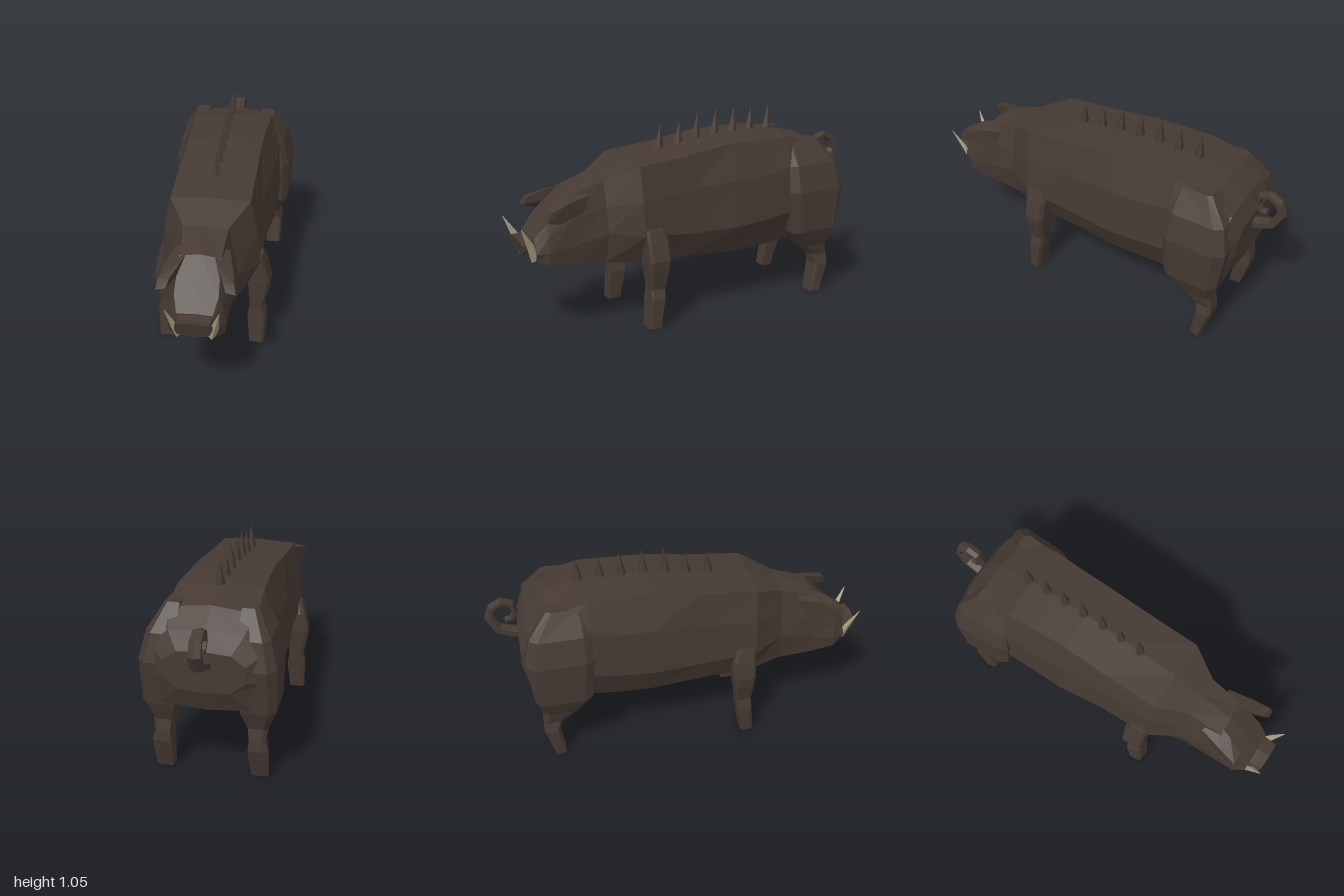
import * as THREE from 'three';

const hide = new THREE.MeshStandardMaterial({ color: 0x463a33 });
hide.name = 'brown hide';
const ivory = new THREE.MeshStandardMaterial({ color: 0xa39c80 });
ivory.name = 'ivory';

// Skin closed rings of [x, y, z] points with flat facets and capped ends
function loft(rings) {
  const n = rings[0].length, pos = [];
  let volume = 0;
  const tri = (a, b, c) => {
    pos.push([a, b, c]);
    volume += a[0] * (b[1] * c[2] - b[2] * c[1]) + a[1] * (b[2] * c[0] - b[0] * c[2]) + a[2] * (b[0] * c[1] - b[1] * c[0]);
  };
  for (let i = 0; i < rings.length - 1; i++) {
    for (let j = 0; j < n; j++) {
      const k = (j + 1) % n, p = rings[i], q = rings[i + 1];
      tri(p[j], q[j], q[k]);
      tri(p[j], q[k], p[k]);
    }
  }
  const first = rings[0], last = rings[rings.length - 1];
  for (let j = 1; j < n - 1; j++) {
    tri(first[0], first[j], first[j + 1]);
    tri(last[0], last[j + 1], last[j]);
  }
  const ordered = volume < 0 ? pos.map(([a, b, c]) => [a, c, b]) : pos;
  const g = new THREE.BufferGeometry();
  g.setAttribute('position', new THREE.Float32BufferAttribute(ordered.flat(2), 3));
  g.computeVertexNormals();
  return g;
}

const mirror = (rings) => rings.map((r) => r.map(([x, y, z]) => [-x, y, z]));

// Leg ring: height, inner x, outer x, front z, back z, with chamfered outer corners
function legRing([y, x0, x1, zf, zb]) {
  const d = (zf - zb) * 0.13, xm = x1 - (x1 - x0) * 0.2;
  return [[x0, y, zf], [xm, y, zf], [x1 - 0.008, y, zf - d], [x1, y, zb + d], [xm, y, zb], [x0, y, zb]];
}

export function createModel() {
  const model = new THREE.Group();
  const add = (name, geometry, material = hide) => {
    const mesh = new THREE.Mesh(geometry, material);
    mesh.name = name;
    model.add(mesh);
  };
  const addPair = (name, rings, material) => {
    add('left' + name, loft(rings), material);
    add('right' + name, loft(mirror(rings)), material);
  };

  // Body and head: z, top y, four side points (x, y), bottom y
  const sections = [
    [-0.835, 0.70, 0.13, 0.69, 0.20, 0.64, 0.20, 0.56, 0.13, 0.50, 0.49],
    [-0.79, 0.79, 0.18, 0.77, 0.28, 0.70, 0.30, 0.55, 0.22, 0.40, 0.38],
    [-0.69, 0.875, 0.215, 0.85, 0.27, 0.73, 0.29, 0.52, 0.22, 0.36, 0.33],
    [-0.49, 0.92, 0.215, 0.90, 0.27, 0.75, 0.285, 0.50, 0.21, 0.33, 0.30],
    [-0.33, 0.925, 0.205, 0.905, 0.265, 0.72, 0.28, 0.48, 0.20, 0.31, 0.29],
    [-0.15, 0.925, 0.20, 0.905, 0.26, 0.72, 0.28, 0.47, 0.20, 0.31, 0.295],
    [0.10, 0.895, 0.20, 0.875, 0.235, 0.70, 0.25, 0.47, 0.19, 0.33, 0.32],
    [0.39, 0.86, 0.20, 0.85, 0.235, 0.68, 0.25, 0.50, 0.17, 0.335, 0.33],
    [0.55, 0.79, 0.11, 0.785, 0.14, 0.65, 0.16, 0.52, 0.13, 0.36, 0.345],
    [0.73, 0.745, 0.10, 0.73, 0.13, 0.62, 0.14, 0.48, 0.13, 0.375, 0.36],
    [0.86, 0.61, 0.105, 0.60, 0.125, 0.54, 0.14, 0.46, 0.135, 0.40, 0.385],
    [0.92, 0.54, 0.085, 0.535, 0.10, 0.50, 0.115, 0.46, 0.10, 0.42, 0.41],
  ];
  const bodyRing = ([z, top, ...rest]) => {
    const side = [0, 2, 4, 6].map((i) => [rest[i], rest[i + 1], z]);
    const other = side.map(([x, y]) => [-x, y, z]).reverse();
    return [[0, top, z], ...side, [0, rest[8], z], ...other];
  };
  add('bodyAndHead', loft(sections.map(bodyRing)));

  // Snout with a slightly tilted flat end
  const snout = [
    [0.90, 0.54, 0.075, 0.53, 0.09, 0.50, 0.10, 0.47, 0.08, 0.43, 0.425],
    [0.955, 0.53, 0.08, 0.52, 0.088, 0.50, 0.088, 0.48, 0.075, 0.45, 0.445],
    [0.98, 0.535, 0.075, 0.525, 0.085, 0.505, 0.085, 0.48, 0.07, 0.455, 0.45],
  ].map(bodyRing);
  snout[2].forEach((p) => { p[2] += (p[1] - 0.49) * 0.25; });
  add('snout', loft(snout));

  // Hind legs with broad haunches
  addPair('HindLeg', [
    [0.875, 0.15, 0.225, -0.51, -0.69],
    [0.75, 0.14, 0.30, -0.48, -0.79],
    [0.61, 0.14, 0.335, -0.47, -0.82],
    [0.38, 0.16, 0.33, -0.49, -0.785],
    [0.28, 0.19, 0.288, -0.57, -0.745],
    [0.215, 0.197, 0.275, -0.66, -0.755],
    [0.16, 0.19, 0.29, -0.675, -0.755],
    [0, 0.20, 0.285, -0.647, -0.707],
  ].map(legRing));

  // Front legs
  addPair('FrontLeg', [
    [0.53, 0.18, 0.265, 0.385, 0.29],
    [0.47, 0.18, 0.285, 0.385, 0.265],
    [0.37, 0.19, 0.308, 0.385, 0.265],
    [0.31, 0.197, 0.30, 0.38, 0.272],
    [0.21, 0.20, 0.275, 0.37, 0.285],
    [0.16, 0.19, 0.29, 0.373, 0.29],
    [0, 0.203, 0.285, 0.385, 0.315],
  ].map(legRing));

  // Drooping ears
  addPair('Ear', [
    [[0.05, 0.75, 0.66], [0.13, 0.725, 0.64], [0.135, 0.645, 0.67], [0.07, 0.66, 0.68]],
    [[0.085, 0.725, 0.78], [0.16, 0.705, 0.77], [0.168, 0.612, 0.81], [0.105, 0.66, 0.81]],
    [[0.125, 0.685, 0.865], [0.178, 0.68, 0.865], [0.188, 0.635, 0.885], [0.14, 0.645, 0.885]],
  ]);

  // Tusks: square section tapering upward and outward
  addPair('Tusk', [
    [0.083, 0.425, 0.915, 0.023], [0.10, 0.50, 0.945, 0.017], [0.125, 0.605, 0.998, 0.002],
  ].map(([x, y, z, r]) => [
    [x - r, y, z + r * 0.3], [x, y - r * 0.5, z + r], [x + r, y, z - r * 0.3], [x, y + r * 0.5, z - r],
  ]), ivory);

  // Spikes along the spine: z, base y, tip y
  [[0.175, 0.87, 1.005], [0.06, 0.88, 1.005], [-0.05, 0.89, 1.05], [-0.165, 0.905, 1.05],
    [-0.28, 0.905, 1.05], [-0.39, 0.90, 1.04], [-0.505, 0.90, 1.04]].forEach(([z, base, tip], i) => {
    const ring = (r, y, cz) => Array.from({ length: 5 }, (_, k) => {
      const a = (k / 5) * Math.PI * 2;
      return [Math.sin(a) * r, y, cz + Math.cos(a) * r];
    });
    add('spineSpike' + (i + 1), loft([ring(0.029, base, z), ring(0.001, tip, z - 0.012)]));
  });

  // Curled tail: flattened section swept along a spiral in the middle plane
  const path = [[0.63, -0.80], [0.645, -0.87], [0.67, -0.935], [0.74, -0.976], [0.80, -0.955], [0.828, -0.905],
    [0.81, -0.855], [0.76, -0.84], [0.722, -0.862], [0.718, -0.895]];
  add('tail', loft(path.map(([y, z], i) => {
    const a = path[Math.max(i - 1, 0)], b = path[Math.min(i + 1, path.length - 1)];
    const len = Math.hypot(b[0] - a[0], b[1] - a[1]);
    const ny = -(b[1] - a[1]) / len, nz = (b[0] - a[0]) / len;
    const t = i / (path.length - 1), w = 0.042 - 0.02 * t, h = 0.03 - 0.018 * t;
    return Array.from({ length: 6 }, (_, k) => {
      const q = ((k + 0.5) / 6) * Math.PI * 2;
      return [Math.cos(q) * w, y + ny * Math.sin(q) * h, z + nz * Math.sin(q) * h];
    });
  })));

  return model;
}
